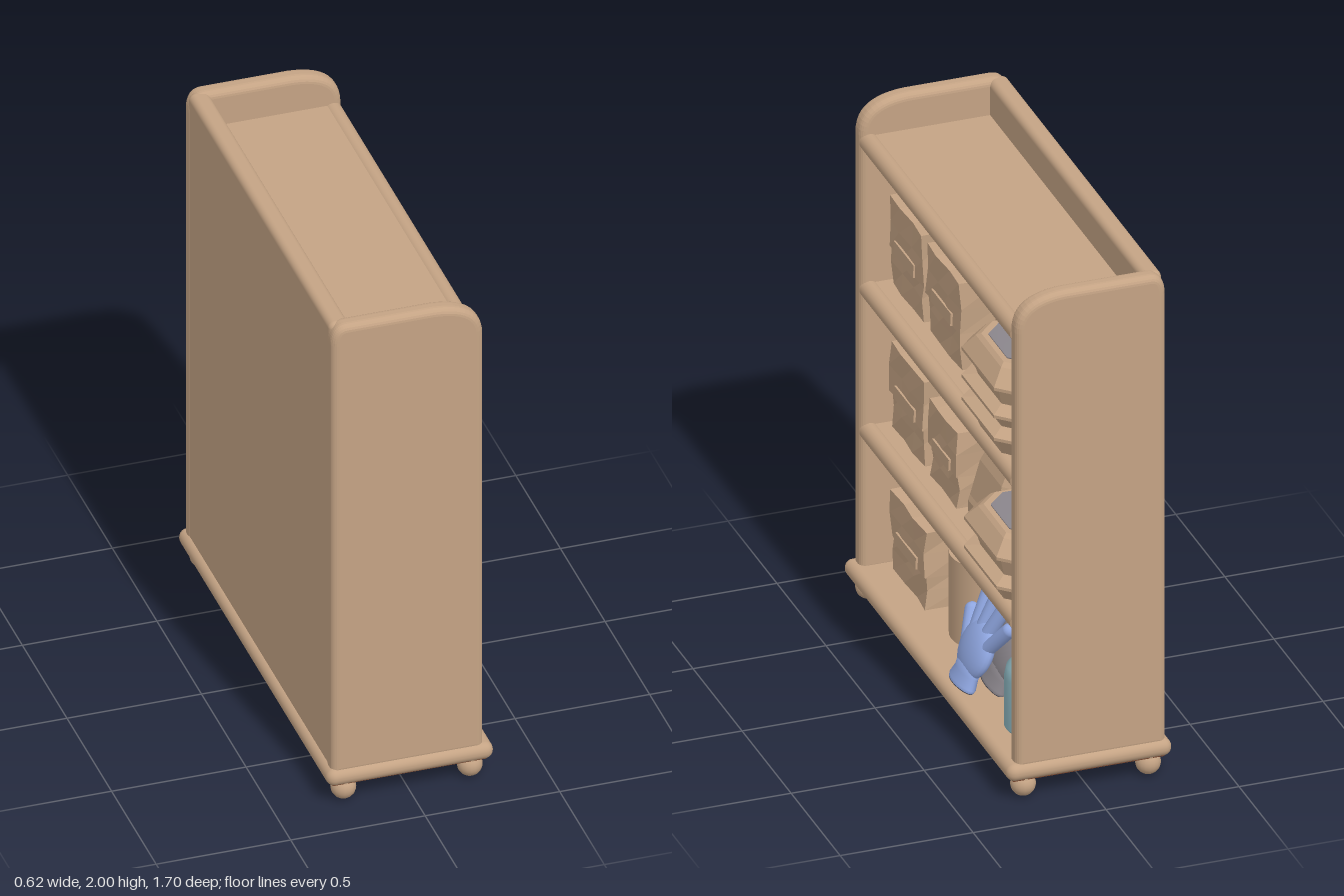
import * as THREE from 'three';
import { RoundedBoxGeometry } from 'three/addons/geometries/RoundedBoxGeometry.js';

const mat = (name, color, extra = {}) => Object.assign(new THREE.MeshStandardMaterial({ color, ...extra }), { name });

export function createModel() {
  const root = new THREE.Group();
  root.name = 'stockedShelf';
  const tan = mat('tan', 0xc4a384);
  const paper = mat('tanFolded', 0xc4a384, { flatShading: true });
  const brown = mat('brown', 0x74442d, { side: THREE.DoubleSide });
  const blue = mat('gloveBlue', 0x8fa6e0);
  const teal = mat('bottleTeal', 0x8bb4be);
  const grey = mat('grey', 0x8b868c, { side: THREE.DoubleSide });
  const dark = mat('darkOpening', 0x34353f);

  const add = (name, geo, m, x = 0, y = 0, z = 0, parent = root) => {
    const mesh = new THREE.Mesh(geo, m);
    mesh.name = name;
    mesh.position.set(x, y, z);
    parent.add(mesh);
    return mesh;
  };

  // Closed loft through cut-corner rectangles: [y, halfX, halfZ, shiftX, shiftZ]
  const loft = (sections, cut) => {
    const pos = [], idx = [];
    for (const [y, a, b, sx = 0, sz = 0] of sections) {
      const c = Math.min(cut, a * 0.8, b * 0.8);
      for (const [x, z] of [[a, -b + c], [a, b - c], [a - c, b], [c - a, b], [-a, b - c], [-a, c - b], [c - a, -b], [a - c, -b]])
        pos.push(x + sx, y, z + sz);
    }
    const n = sections.length;
    for (let i = 0; i < n - 1; i++)
      for (let j = 0; j < 8; j++) {
        const p = i * 8 + j, q = i * 8 + (j + 1) % 8;
        idx.push(p, p + 8, q, q, p + 8, q + 8);
      }
    const t = (n - 1) * 8;
    for (let j = 1; j < 7; j++) idx.push(0, j, j + 1, t, t + j + 1, t + j);
    const g = new THREE.BufferGeometry();
    g.setAttribute('position', new THREE.Float32BufferAttribute(pos, 3));
    g.setIndex(idx);
    g.computeVertexNormals();
    return g;
  };

  const lathe = (pts, seg = 28) => new THREE.LatheGeometry(pts.map(p => new THREE.Vector2(...p)), seg);

  // Base with brown underside and ball feet
  add('base', new RoundedBoxGeometry(0.62, 0.066, 1.7, 4, 0.032), tan, 0, 0.112, 0);
  add('baseUnderside', new THREE.BoxGeometry(0.57, 0.006, 1.65), brown, 0, 0.078, 0);
  for (const x of [-0.235, 0.235]) for (const z of [-0.79, 0.79]) {
    add('foot', new THREE.SphereGeometry(0.046, 18, 12), tan, x, 0.046, z);
    add('footNeck', new THREE.CylinderGeometry(0.034, 0.04, 0.05, 16), tan, x, 0.07, z);
  }

  // Side panels, rounder at the top of the open side
  const side = new THREE.Shape();
  side.moveTo(-0.29, 0.12);
  side.lineTo(0.275, 0.12);
  side.lineTo(0.275, 1.86);
  side.bezierCurveTo(0.275, 1.95, 0.21, 1.995, 0.09, 2);
  side.lineTo(-0.23, 2);
  side.quadraticCurveTo(-0.29, 2, -0.29, 1.92);
  const sideGeo = new THREE.ExtrudeGeometry(side, {
    depth: 0.02, bevelEnabled: true, bevelThickness: 0.027, bevelSize: 0.027, bevelOffset: -0.027, bevelSegments: 5, curveSegments: 12,
  });
  for (const s of [-1, 1]) add('sidePanel', sideGeo, tan, 0, 0, s * 0.795 - 0.01);

  // Closed back, brown on the inside
  add('backPanel', new RoundedBoxGeometry(0.075, 1.87, 1.6, 4, 0.025), tan, -0.25, 1.06, 0);
  add('innerBack', new THREE.BoxGeometry(0.008, 1.67, 1.53), brown, -0.21, 0.98, 0);

  // Shelves with round front rails
  for (const [y, under] of [[0.678, brown], [1.245, brown], [1.832, tan]]) {
    add('shelf', new THREE.BoxGeometry(0.47, 0.056, 1.54), [tan, tan, tan, under, tan, tan], 0.01, y, 0);
    const rail = add('shelfRail', new THREE.CylinderGeometry(0.035, 0.035, 1.54, 20), tan, 0.24, y, 0);
    rail.rotation.x = Math.PI / 2;
  }

  // Folded paper boxes: slightly uneven body with an overlapping lid
  const crumple = (g, k) => {
    const p = g.attributes.position;
    for (let i = 0; i < p.count; i++) {
      const x = p.getX(i), y = p.getY(i), z = p.getZ(i);
      const w = Math.sin(x * 31 + y * 47 + z * 23 + k) * 0.006;
      p.setXYZ(i, x + w, y + w * 0.5, z + Math.sin(x * 17 + y * 29 + k * 3) * 0.005);
    }
    g.computeVertexNormals();
    return g;
  };
  [[1.28, 1.63, 0.56, 0.335], [1.28, 1.625, 0.18, 0.335], [0.708, 1.05, 0.555, 0.335],
    [0.708, 1.015, 0.185, 0.285], [0.142, 0.46, 0.54, 0.35]].forEach(([y0, y1, z, w], k) => {
    const h = y1 - y0, d = 0.32;
    add('boxBody', crumple(new THREE.BoxGeometry(d, h * 0.5, w - 0.015, 2, 2, 3), k), paper, 0.01, y0 + h * 0.25, z);
    add('boxLid', crumple(new THREE.BoxGeometry(d + 0.015, h * 0.58, w, 2, 2, 3), k + 2), paper, 0.01, y1 - h * 0.29, z);
    add('boxFlap', new THREE.BoxGeometry(0.008, h * 0.14, w * 0.6), paper, 0.183, y1 - h * 0.5, z).rotation.z = 0.05;
  });

  // Canister
  add('canister', new THREE.CylinderGeometry(0.142, 0.142, 0.33, 32), tan, 0.02, 0.308, 0.14);

  // Stacked food trays with flared rims and grey tops
  const trays = (name, y0, rims, top, z) => {
    const s = [[y0, 0.16, 0.18]];
    rims.forEach((y, i) => {
      s.push([y - 0.018, 0.185, 0.21], [y - 0.006, 0.21, 0.235], [y + 0.006, 0.21, 0.235]);
      if (i < rims.length - 1) s.push([y + 0.022, 0.165, 0.19]);
    });
    s.push([top - 0.012, 0.17, 0.2], [top, 0.155, 0.185]);
    add(name, loft(s, 0.07), paper, 0.09, 0, z);
    add('trayTop', loft([[top, 0.135, 0.165], [top + 0.005, 0.135, 0.165]], 0.07), grey, 0.09, 0, z);
  };
  trays('upperTrays', 1.278, [1.37, 1.46, 1.57], 1.645, -0.505);
  trays('lowerTrays', 0.706, [0.79, 0.905], 0.975, -0.53);

  // Paper bag pinched toward a ragged top
  add('paperBag', loft([[0.706, 0.1, 0.15], [0.79, 0.105, 0.14], [0.81, 0.097, 0.142], [0.95, 0.075, 0.13, -0.01, -0.004],
    [1.04, 0.035, 0.115, -0.01, -0.01], [1.1, 0.02, 0.105, 0, -0.01]], 0.02), paper, 0.06, 0, -0.16);
  for (let i = 0; i < 6; i++)
    add('bagTooth', new THREE.ConeGeometry(0.018, 0.035, 4), paper, 0.06, 1.112, -0.255 + i * 0.034);

  // Small tan dispenser
  add('dispenserBody', lathe([[0, 1.278], [0.09, 1.278], [0.09, 1.41], [0.078, 1.42], [0.06, 1.45], [0.03, 1.49], [0.022, 1.55], [0, 1.555]]), tan, 0.07, 0, -0.14);
  add('dispenserSpout', new THREE.BoxGeometry(0.025, 0.022, 0.08), tan, 0.07, 1.525, -0.135);

  // Spray bottle
  add('bottleBody', lathe([[0, 0.142], [0.088, 0.142], [0.096, 0.155], [0.096, 0.35], [0.088, 0.39], [0.065, 0.42], [0.036, 0.44], [0, 0.44]]), teal, 0.125, 0, -0.575);
  add('bottleCollar', new THREE.CylinderGeometry(0.032, 0.036, 0.075, 20), blue, 0.125, 0.47, -0.58);
  const head = new THREE.Shape([[-0.085, 0.605], [0.04, 0.605], [0.088, 0.565], [0.04, 0.545], [0.032, 0.5], [-0.028, 0.5], [-0.035, 0.55], [-0.085, 0.57]]
    .map(([x, y]) => new THREE.Vector2(x, y)));
  add('sprayHead', new THREE.ExtrudeGeometry(head, { depth: 0.05, bevelEnabled: false }), tan, 0.15, 0, -0.58).rotation.y = Math.PI / 2;
  root.children.at(-1).position.x = 0.1;
  add('nozzle', new THREE.BoxGeometry(0.04, 0.034, 0.025), teal, 0.125, 0.588, -0.485);
  add('trigger', new THREE.BoxGeometry(0.025, 0.09, 0.022), blue, 0.125, 0.53, -0.51).rotation.x = 0.25;

  // Gloves leaning back, fingers fanned
  const glove = (name, m, x, y, z, turn) => {
    const g = new THREE.Group();
    g.name = name;
    g.position.set(x, y, z);
    g.rotation.set(turn, 0, 0.42);
    root.add(g);
    add('cuff', lathe([[0.085, 0], [0.09, 0.012], [0.078, 0.05], [0.085, 0.1], [0, 0.12]]), m, 0, 0, 0, g).scale.x = 0.45;
    add('cuffOpening', new THREE.CylinderGeometry(0.083, 0.083, 0.006, 24), dark, 0, 0, 0, g).scale.x = 0.45;
    add('palm', new THREE.SphereGeometry(0.105, 24, 16), m, 0, 0.14, 0, g).scale.set(0.42, 1.05, 1.08);
    const up = new THREE.Vector3(0, 1, 0);
    for (const [z0, y0, z1, y1] of [[0.06, 0.1, 0.145, 0.23], [0.065, 0.2, 0.095, 0.38], [0.022, 0.2, 0.012, 0.41], [-0.025, 0.2, -0.082, 0.385], [-0.06, 0.16, -0.16, 0.295]]) {
      const a = new THREE.Vector3(0, y0, z0), b = new THREE.Vector3(0, y1, z1);
      const dir = b.clone().sub(a);
      const f = add('finger', new THREE.CapsuleGeometry(0.027, dir.length(), 6, 14), m, 0, 0, 0, g);
      f.position.copy(a).add(b).multiplyScalar(0.5);
      f.quaternion.setFromUnitVectors(up, dir.normalize());
    }
  };
  glove('frontGlove', blue, 0.262, 0.17, -0.235, 0);
  glove('rearGlove', grey, 0.15, 0.155, -0.25, -0.12);

  // Flat patches on the back wall
  for (const [y, z, m] of [[1.57, -0.25, tan], [0.37, -0.71, grey]])
    add('wallPatch', new THREE.CylinderGeometry(0.06, 0.06, 0.006, 10), m, -0.203, y, z).rotation.z = -Math.PI / 2;

  return root;
}
